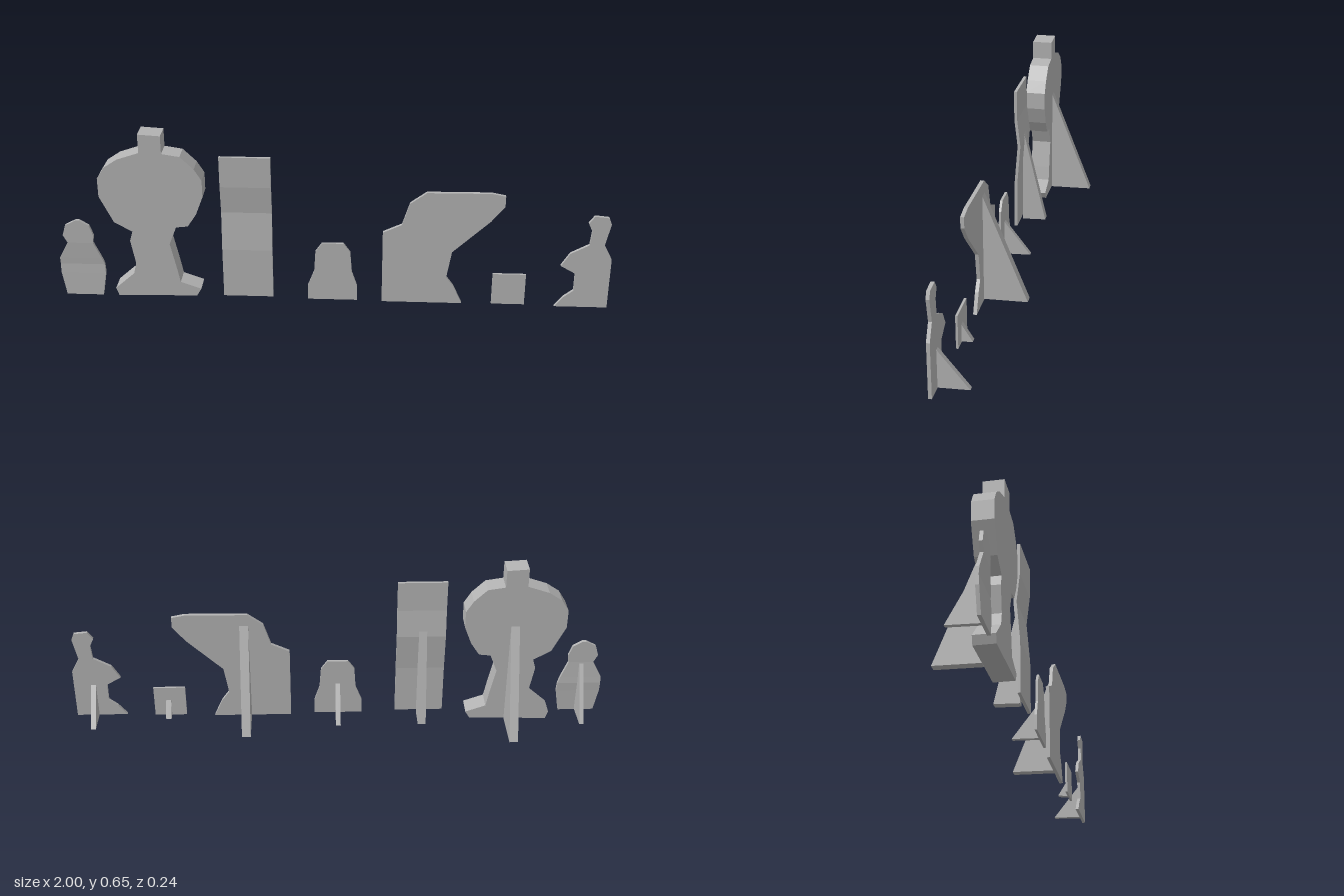
import * as THREE from 'three';

const grey = new THREE.MeshStandardMaterial({ color: 0xb3b3b3, flatShading: true });
grey.name = 'plain grey';

// Flat cut-out: an outline in x/y extruded from zBack to zFront
function cutout(points, zBack, zFront) {
  const shape = new THREE.Shape(points.map(([x, y]) => new THREE.Vector2(x, y)));
  const geo = new THREE.ExtrudeGeometry(shape, { depth: zFront - zBack, bevelEnabled: false });
  geo.translate(0, 0, zBack);
  return geo;
}

// Slightly bent cut-out: rows of [y, left x, right x, back z] from bottom to top
function bentCutout(rows, thickness) {
  const pos = [], idx = [];
  rows.forEach(([y, x0, x1, z], r) => {
    pos.push(x0, y, z + thickness, x1, y, z + thickness, x1, y, z, x0, y, z);
    if (r === 0) return;
    for (let i = 0; i < 4; i++) {
      const a = (r - 1) * 4 + i, b = (r - 1) * 4 + (i + 1) % 4;
      idx.push(a, b, b + 4, a, b + 4, a + 4);
    }
  });
  const t = (rows.length - 1) * 4;
  idx.push(0, 2, 1, 0, 3, 2, t, t + 1, t + 2, t, t + 2, t + 3);
  const geo = new THREE.BufferGeometry();
  geo.setAttribute('position', new THREE.Float32BufferAttribute(pos, 3));
  geo.setIndex(idx);
  geo.computeVertexNormals();
  return geo;
}

// Triangular strut standing behind a cut-out
function strut(x0, x1, height, zPlate, zEnd) {
  const shape = new THREE.Shape([
    new THREE.Vector2(-zPlate, 0.003),
    new THREE.Vector2(-zEnd, 0.007),
    new THREE.Vector2(-zPlate, height),
  ]);
  const geo = new THREE.ExtrudeGeometry(shape, { depth: x1 - x0, bevelEnabled: false });
  geo.rotateY(Math.PI / 2); // shape x becomes -z, depth becomes +x
  geo.translate(x0, 0, 0);
  return geo;
}

export function createModel() {
  const model = new THREE.Group();
  model.name = 'standeeRow';

  const add = (name, plate, brace) => {
    const group = new THREE.Group();
    group.name = name;
    [['Plate', plate], ['Strut', brace]].forEach(([part, geo]) => {
      const mesh = new THREE.Mesh(geo, grey);
      mesh.name = name + part;
      group.add(mesh);
    });
    model.add(group);
  };

  // Small rounded figure, dented at the waist
  add('smallFigure', bentCutout([
    [0, -0.985, -0.85, 0.098], [0.09, -1, -0.835, 0.095], [0.125, -1, -0.837, 0.093],
    [0.15, -1, -0.845, 0.095], [0.215, -0.965, -0.872, 0.099], [0.245, -0.98, -0.868, 0.099],
    [0.285, -0.968, -0.882, 0.099], [0.305, -0.93, -0.915, 0.099],
  ], 0.012), strut(-0.928, -0.912, 0.21, 0.097, -0.013));

  // Tall thick figure with a round body and block on top
  add('largeFigure', cutout([
    [-0.79, 0.002], [-0.8, 0.032], [-0.728, 0.096], [-0.718, 0.139], [-0.734, 0.23],
    [-0.723, 0.267], [-0.787, 0.304], [-0.835, 0.405], [-0.835, 0.475], [-0.808, 0.518],
    [-0.76, 0.55], [-0.68, 0.577], [-0.68, 0.647], [-0.6, 0.642], [-0.6, 0.575],
    [-0.536, 0.565], [-0.488, 0.518], [-0.462, 0.475], [-0.462, 0.41], [-0.488, 0.342],
    [-0.52, 0.293], [-0.563, 0.288], [-0.59, 0.22], [-0.568, 0.117], [-0.558, 0.064],
    [-0.483, 0.037], [-0.5, 0.008],
  ], 0.04, 0.114), strut(-0.663, -0.631, 0.415, 0.041, -0.12));

  // Tall panel, bent back at mid height
  add('panel', bentCutout([
    [0.01, 0.1], [0.2, 0.099], [0.345, 0.087], [0.45, 0.099], [0.565, 0.1],
  ].map(([y, z]) => [y, -0.4, -0.218, z]), 0.011), strut(-0.33, -0.3, 0.39, 0.095, 0.005));

  // Small tapered tablet
  add('tablet', cutout([
    [-0.09, 0.003], [0.09, 0.003], [0.09, 0.06], [0.07, 0.12], [0.064, 0.2],
    [0.04, 0.234], [-0.038, 0.234], [-0.062, 0.2], [-0.067, 0.12], [-0.09, 0.06],
  ], 0.1, 0.109), strut(-0.008, 0.01, 0.135, 0.101, 0.003));

  // Wide overhanging shape
  add('overhang', cutout([
    [0.18, 0], [0.472, 0], [0.44, 0.07], [0.413, 0.107], [0.43, 0.21], [0.563, 0.336],
    [0.61, 0.395], [0.61, 0.435], [0.56, 0.445], [0.333, 0.443], [0.275, 0.4],
    [0.248, 0.315], [0.18, 0.283],
  ], 0.096, 0.109), strut(0.33, 0.363, 0.4, 0.097, -0.06));

  // Little square
  add('square', cutout([
    [0.58, 0.002], [0.7, 0.002], [0.7, 0.125], [0.58, 0.125],
  ], 0.102, 0.11), strut(0.636, 0.656, 0.07, 0.103, 0.064));

  // Seated figure in profile
  add('seatedFigure', cutout([
    [0.808, 0.003], [0.998, 0.003], [0.998, 0.2], [0.968, 0.256], [0.985, 0.34],
    [0.975, 0.365], [0.925, 0.37], [0.905, 0.342], [0.92, 0.31], [0.915, 0.256],
    [0.85, 0.22], [0.82, 0.17], [0.873, 0.14], [0.873, 0.07], [0.84, 0.043],
  ], 0.108, 0.12), strut(0.915, 0.933, 0.14, 0.109, 0.003));

  return model;
}
